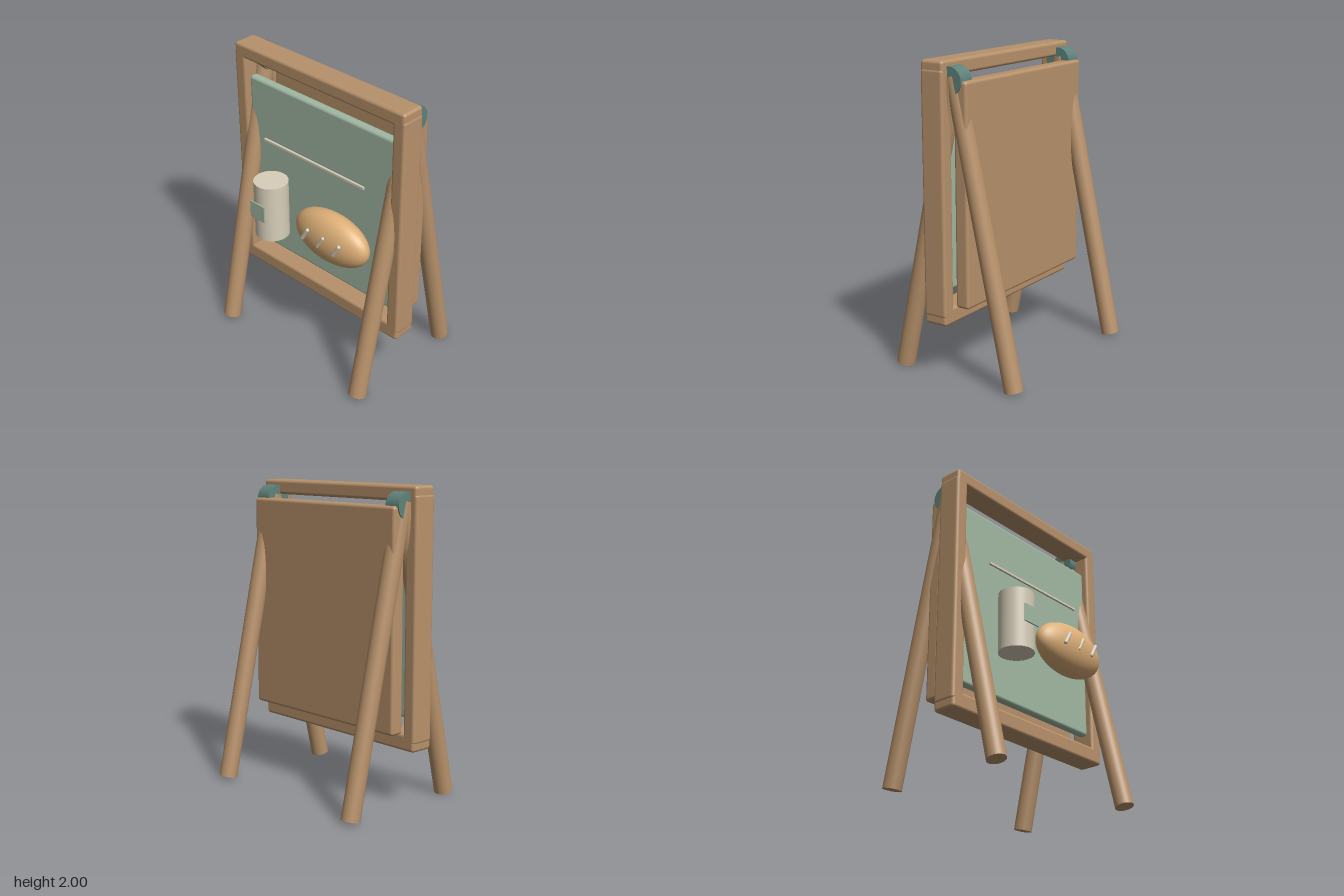
import * as THREE from 'three';
import { RoundedBoxGeometry } from 'three/addons/geometries/RoundedBoxGeometry.js';

function material(name, color) {
  const m = new THREE.MeshStandardMaterial({ color });
  m.name = name;
  return m;
}

export function createModel() {
  const model = new THREE.Group();
  model.name = 'sandwichBoard';

  const wood = material('wood', 0xb8926b);
  const green = material('board green', 0xa1b9a3);
  const teal = material('hinge teal', 0x5f837b);
  const cream = material('cream', 0xd8cfba);
  const crust = material('bread crust', 0xdeb078);

  function add(name, geometry, mat, x, y, z) {
    const mesh = new THREE.Mesh(geometry, mat);
    mesh.name = name;
    mesh.position.set(x, y, z);
    model.add(mesh);
    return mesh;
  }

  // Rounded box given by its lower and upper limits on each axis
  function block(name, mat, [x0, x1], [y0, y1], [z0, z1], radius) {
    const geometry = new RoundedBoxGeometry(x1 - x0, y1 - y0, z1 - z0, 3, radius);
    return add(name, geometry, mat, (x0 + x1) / 2, (y0 + y1) / 2, (z0 + z1) / 2);
  }

  // Round bar between two points
  function bar(name, mat, from, to, radius) {
    const a = new THREE.Vector3(...from);
    const b = new THREE.Vector3(...to);
    const dir = b.clone().sub(a);
    const mid = a.clone().add(b).multiplyScalar(0.5);
    const mesh = add(name, new THREE.CylinderGeometry(radius, radius, dir.length(), 32), mat, mid.x, mid.y, mid.z);
    mesh.quaternion.setFromUnitVectors(new THREE.Vector3(0, 1, 0), dir.normalize());
    return mesh;
  }

  // Front frame
  const frameZ = [0.014, 0.177];
  block('topRail', wood, [-0.7, 0.7], [1.905, 2], frameZ, 0.02);
  block('bottomRail', wood, [-0.7, 0.7], [0.365, 0.473], frameZ, 0.02);
  block('rightPost', wood, [-0.704, -0.612], [0.415, 1.95], frameZ, 0.02);
  block('leftPost', wood, [0.612, 0.704], [0.415, 1.95], frameZ, 0.02);

  // Display board in the frame and plain board at the back
  block('displayBoard', green, [-0.613, 0.613], [0.555, 1.78], [0.08, 0.141], 0.02);
  block('backBoard', wood, [-0.645, 0.645], [0.485, 1.883], [-0.117, -0.022], 0.02);

  // Splayed legs and the hinges that join them
  for (const side of [-1, 1]) {
    const x = side * 0.598;
    const sideName = side > 0 ? 'left' : 'right';
    bar(sideName + 'FrontLeg', wood, [x, 0.0135, 0.422], [x, 1.9, 0], 0.06);
    bar(sideName + 'BackLeg', wood, [x, 0.0135, -0.42], [x, 1.905, 0], 0.06);
    bar(sideName + 'Hinge', teal, [x - 0.055, 1.88, 0], [x + 0.055, 1.88, 0], 0.086);
  }

  // Thin rule across the board
  add('ruleLine', new THREE.BoxGeometry(0.855, 0.015, 0.014), cream, 0, 1.41, 0.2);

  // Jar with a square label
  add('jar', new THREE.CylinderGeometry(0.113, 0.113, 0.4, 40), cream, -0.283, 1.005, 0.295);
  block('jarLabel', green, [-0.348, -0.218], [0.963, 1.085], [0.415, 0.4245], 0.004);

  // Loaf with slanted scores
  const loaf = add('loaf', new THREE.SphereGeometry(1, 48, 32), crust, 0.243, 1.008, 0.28);
  loaf.scale.set(0.297, 0.174, 0.117);
  for (const x of [0.11, 0.243, 0.375]) {
    const score = add('loafScore', new THREE.CapsuleGeometry(0.013, 0.09, 6, 16), cream, x, 1.022, 0.388);
    score.rotation.z = -0.52;
  }

  return model;
}
